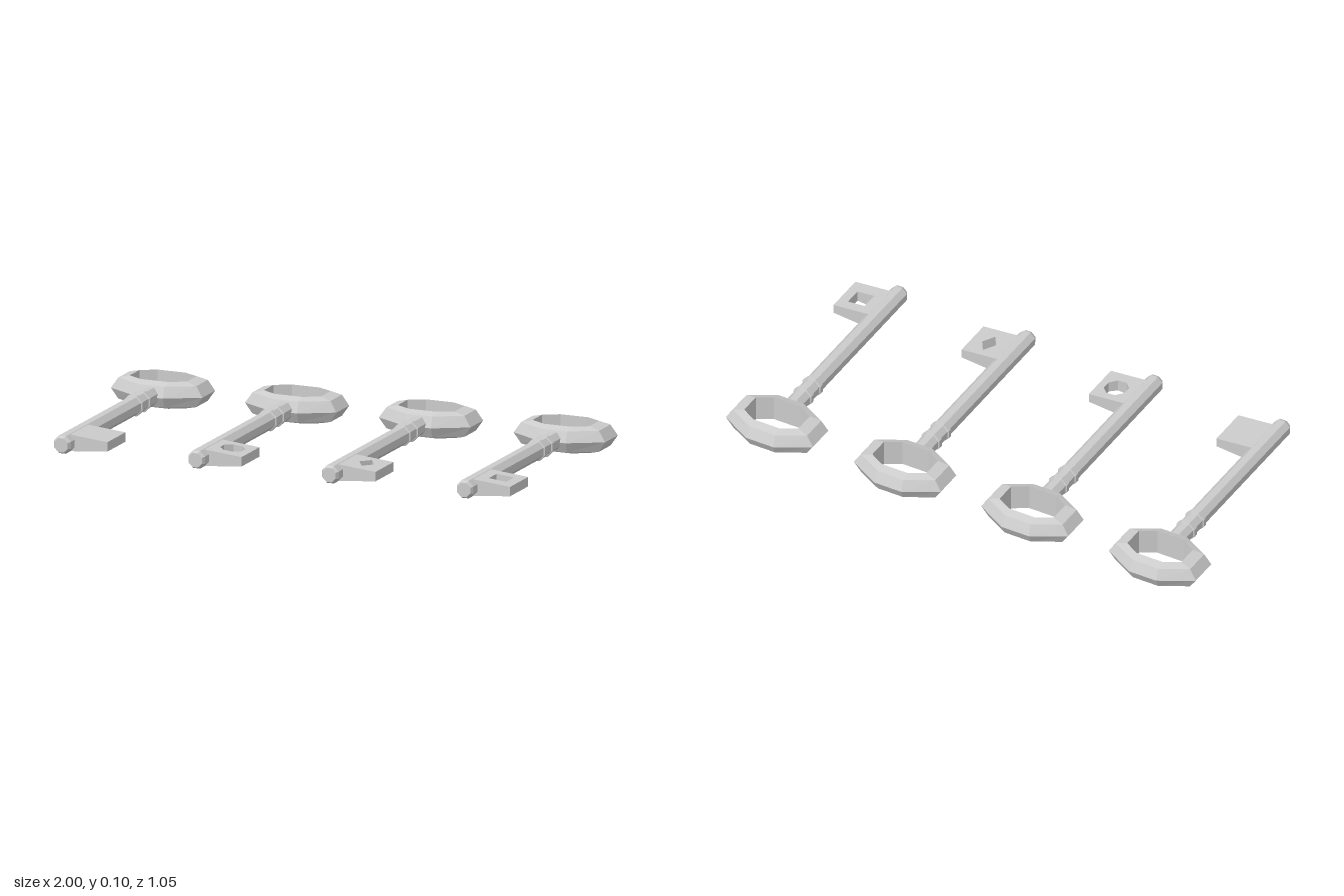
import * as THREE from 'three';

const MID = 0.052; // height of every key's centre line
const material = new THREE.MeshStandardMaterial({ color: 0xcccccc, flatShading: true });

function part(name, geometry) {
  const mesh = new THREE.Mesh(geometry, material);
  mesh.name = name;
  return mesh;
}

// Eight-sided turned part along z, flats facing up and sideways; profile is [radius, z]
function turned(profile) {
  const points = profile.map(([r, z]) => new THREE.Vector2(r, z));
  return new THREE.LatheGeometry(points, 8, Math.PI / 8).rotateX(Math.PI / 2);
}

// Elongated octagon: half sizes hx, hz and half lengths cx, cz of the straight sides
function octagon([hx, hz, cx, cz, y]) {
  return [[hx, -cz], [hx, cz], [cx, hz], [-cx, hz], [-hx, cz], [-hx, -cz], [-cx, -hz], [cx, -hz]]
    .map(([x, z]) => [x, y, z]);
}

// Bow: octagonal loops joined around its faceted cross-section
function bowGeometry() {
  const loops = [
    [0.115, 0.077, 0.056, 0.043, 0.051],
    [0.158, 0.109, 0.054, 0.052, 0.040],
    [0.185, 0.1305, 0.058, 0.058, 0],
    [0.158, 0.109, 0.054, 0.052, -0.040],
    [0.115, 0.077, 0.056, 0.043, -0.051],
  ].map(octagon);
  const positions = [];
  loops.forEach((loop, j) => {
    const next = loops[(j + 1) % loops.length];
    for (let k = 0; k < 8; k++) {
      const m = (k + 1) % 8;
      positions.push(...loop[k], ...loop[m], ...next[m], ...loop[k], ...next[m], ...next[k]);
    }
  });
  const geometry = new THREE.BufferGeometry();
  geometry.setAttribute('position', new THREE.Float32BufferAttribute(positions, 3));
  geometry.computeVertexNormals();
  return geometry;
}

// Bit: plate with an optional hole, thinning towards its free end
function bitGeometry(hole) {
  const [x0, x1, z0, z1] = [0.01, 0.166, 0.314, 0.477];
  const shape = new THREE.Shape([[x0, z0], [x1, z0], [x1, z1], [x0, z1]]
    .map(([x, z]) => new THREE.Vector2(x, z)));
  if (hole) {
    const points = [];
    for (let i = 0; i < hole.sides; i++) {
      const a = -(i + hole.turn) / hole.sides * Math.PI * 2;
      points.push(new THREE.Vector2(0.092 + hole.rx * Math.cos(a), 0.39 + hole.rz * Math.sin(a)));
    }
    shape.holes.push(new THREE.Path(points));
  }
  const geometry = new THREE.ExtrudeGeometry(shape, { depth: 2, bevelEnabled: false });
  geometry.translate(0, 0, -1).rotateX(Math.PI / 2);
  const p = geometry.attributes.position;
  for (let i = 0; i < p.count; i++) {
    const t = (p.getX(i) - x0) / (x1 - x0);
    p.setY(i, p.getY(i) * THREE.MathUtils.lerp(0.0323, 0.018, t));
  }
  geometry.computeVertexNormals();
  return geometry;
}

function createKey(name, x, hole) {
  const key = new THREE.Group();
  key.name = name;
  key.position.set(x, MID, 0);

  const bow = part('bow', bowGeometry());
  bow.position.z = -0.395;
  key.add(bow);

  // Shank with a chamfered tip
  key.add(part('shank', turned([[0, -0.3], [0.0365, -0.3], [0.0365, 0.512], [0.029, 0.5255], [0, 0.5255]])));

  // Two raised collars
  for (const z of [-0.13, -0.198]) {
    key.add(part('collar', turned([
      [0.035, z - 0.011], [0.042, z - 0.008], [0.042, z + 0.008], [0.035, z + 0.011],
    ])));
  }

  key.add(part('bit', bitGeometry(hole)));
  return key;
}

export function createModel() {
  const model = new THREE.Group();
  model.name = 'keySet';
  model.add(
    createKey('plainKey', -0.815, null),
    createKey('roundHoleKey', -0.272, { sides: 8, turn: 0.5, rx: 0.047, rz: 0.047 }),
    createKey('diamondHoleKey', 0.27, { sides: 4, turn: 0, rx: 0.03, rz: 0.046 }),
    createKey('squareHoleKey', 0.815, { sides: 4, turn: 0.5, rx: 0.05, rz: 0.05 }),
  );
  return model;
}
